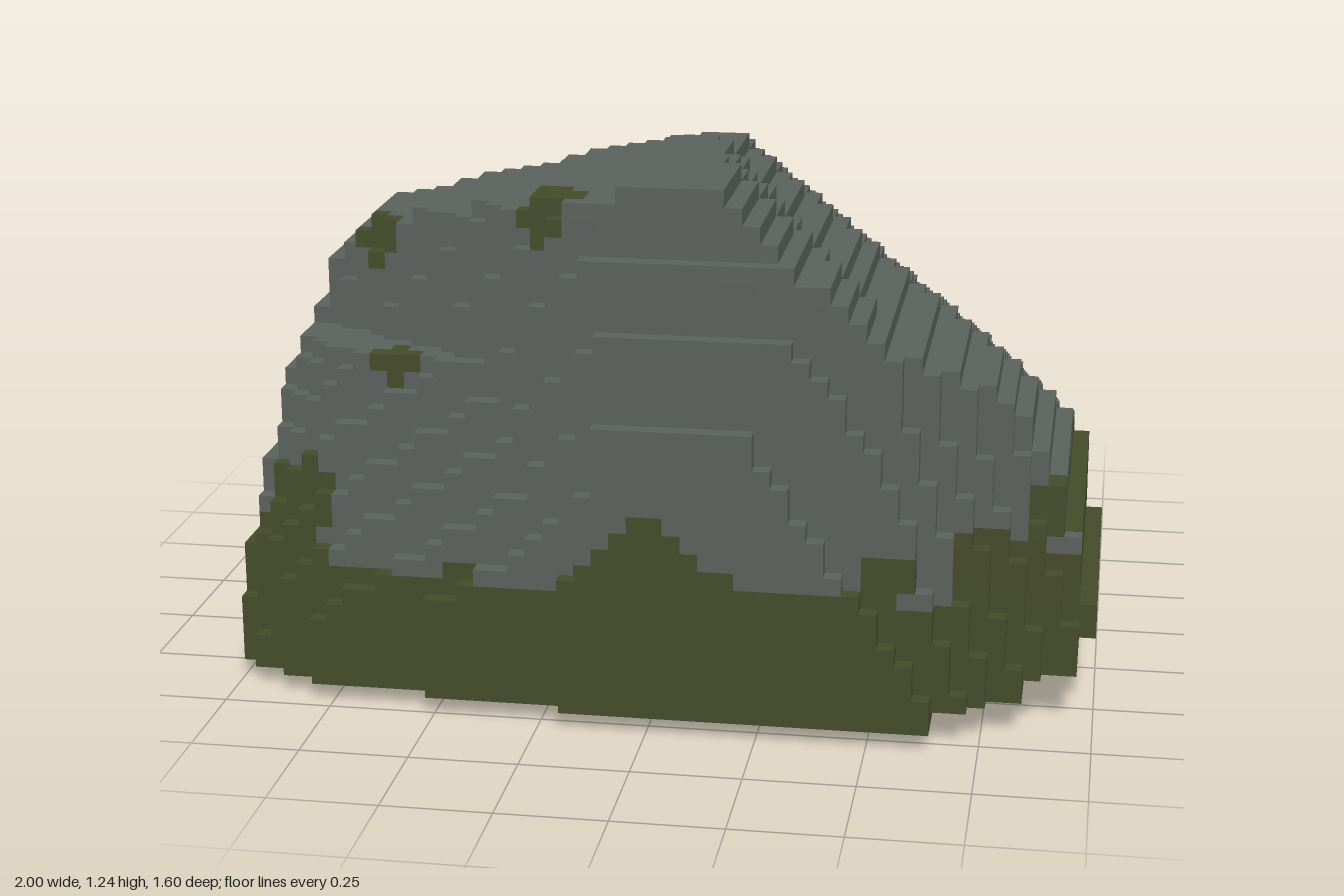
import * as THREE from 'three';

const S = 0.04, NX = 50, NY = 31, NZ = 40; // cell size and grid counts

// Flat cuts of the boulder: a*x + b*y + c*z <= d
const CUTS = [
  [0, 0.24, 1, 0.957],        // leaning front face
  [-0.13, 0, 1, 0.805],       // front face, turned a little to -x
  [0.157, 0.11, 1, 0.892],    // front face, turned a little to +x
  [0.5, 0.15, 0.86, 1.002],   // front corner at +x
  [-1, 0.2, 0, 1.042],        // -x side
  [-1, 0.35, 0, 1.15],
  [-1, 0.9, 0, 1.67],         // shoulder above the -x side
  [2.1, 1, 0, 2.45],          // +x side, upper
  [4, 1, 0, 4.2],             // +x side, lower
  [0, 1, -0.1, 1.189],        // ridge falling to the back
  [-0.2, 1, -0.06, 1.2],      // top falling to -x
  [0, 1, -0.3, 1.24],         // back of the ridge
  [0, 1, -0.7, 1.43],
  [0, 1, -2, 2.225],          // upper back
  [0, 0.14, -1, 0.845],       // lower back
  [-0.36, 1, -0.37, 1.27],    // back slope at -x
  [0.83, 1, -0.354, 1.3],     // back slope at +x
  [0.2, -1, 0, 0.068],        // undercut at +x
  [1, -0.5, 0, 0.88],
  [0, -1, -1, 0.6],           // undercut at the back
  [0.7, -1, -0.7, 0.75],
];

// Near-vertical walls along the ground outline, running round from +x to -x
function wall(x1, z1, x2, z2, lean) {
  const l = Math.hypot(x2 - x1, z2 - z1), a = -(z1 - z2) / l, c = (x1 - x2) / l;
  const sign = a * x1 + c * z1 < 0 ? -1 : 1;
  CUTS.push([sign * a, lean, sign * c, sign * (a * x1 + c * z1) + lean * 0.15]);
}
const OUTLINE = [
  [1, -0.08], [0.93, -0.37], [0.7, -0.62], [0.24, -0.79], [0, -0.8],
  [-0.29, -0.76], [-0.5, -0.6], [-0.88, -0.22], [-1, 0.2],
];
for (let i = 0; i + 1 < OUTLINE.length; i++) wall(...OUTLINE[i], ...OUTLINE[i + 1], 0.06);
wall(-1, 0.57, -0.8, 0.73, 0.08);

function isRock(x, y, z) {
  // shallow foot under the main underside
  if (y < S && (x > 0 || x < -0.84 || z > 0.32 || x + z > -0.31)) return false;
  for (const [a, b, c, d] of CUTS) if (a * x + b * y + c * z > d) return false;
  // hollow slope at +x: steep near the ridge, gentler further out
  const steep = 1.37 - 0.92 * (x - 0.28 * Math.min(z - 0.5, 0));
  if (y > Math.max(steep, 1.19 - 0.55 * x)) return false;
  // upper block steps back at the -x front corner, leaving a flat shelf
  const block = -0.53 * x + 0.1 * y + 0.85 * z <= 0.793;
  const shelf = y < 0.8 && -0.2 * x + 0.3 * y + 0.98 * z <= 0.905
    && -0.707 * x + 0.35 * y + 0.707 * z <= 1.2;
  return block || shelf;
}

// Height of the moss around the boulder, every 22.5 degrees from +x towards +z
const MOSS = [0.46, 0.46, 0.34, 0.34, 0.5, 0.3, 0.35, 0.42, 0.36, 0.36, 0.4, 0.44, 0.52, 0.56, 0.54, 0.51];
// Loose moss patches: x, y, z, radius
const PATCHES = [
  [-0.84, 0.46, 0.6, 0.1], [-0.63, 0.42, 0.72, 0.05], [-0.35, 0.42, 0.74, 0.04],
  [-0.62, 0.79, 0.55, 0.06], [-0.71, 1.03, 0.37, 0.06], [-0.24, 1.17, 0.6, 0.08],
  [0.54, 0.39, 0.74, 0.06], [0.74, 0.42, 0.66, 0.07], [0.87, 0.49, 0.53, 0.07],
  [0.78, 0.62, 0.5, 0.03], [0.58, 0.83, -0.57, 0.05], [-0.31, 1.14, -0.05, 0.04],
];
function isMoss(x, y, z) {
  const t = ((Math.atan2(z, x) / (Math.PI * 2) + 1) % 1) * 16, i = Math.floor(t), f = t - i;
  const line = MOSS[i % 16] * (1 - f) + MOSS[(i + 1) % 16] * f
    + 0.02 * Math.sin(t * 5) + 0.012 * Math.sin(t * 13);
  return y < line || PATCHES.some(([a, b, c, r]) => Math.hypot(x - a, y - b, z - c) < r);
}

export function createModel() {
  const group = new THREE.Group();
  group.name = 'boulder';
  const parts = { stone: [], moss: [] };
  const centre = (i, j, k) => [(i + 0.5 - NX / 2) * S, (j + 0.5) * S, (k + 0.5 - NZ / 2) * S];

  const grid = new Uint8Array(NX * NY * NZ);
  const inside = (i, j, k) => i >= 0 && j >= 0 && k >= 0 && i < NX && j < NY && k < NZ;
  const at = (i, j, k) => (k * NY + j) * NX + i;
  const each = (fn) => {
    for (let k = 0; k < NZ; k++) for (let j = 0; j < NY; j++) for (let i = 0; i < NX; i++) fn(i, j, k);
  };
  each((i, j, k) => { grid[at(i, j, k)] = isRock(...centre(i, j, k)) ? 1 : 0; });

  // One square for every cell side that is open to the air
  each((i, j, k) => {
    if (!grid[at(i, j, k)]) return;
    const p = centre(i, j, k);
    const out = isMoss(...p) ? parts.moss : parts.stone;
    for (let axis = 0; axis < 3; axis++) for (const s of [-1, 1]) {
      const n = [i, j, k];
      n[axis] += s;
      if (inside(...n) && grid[at(...n)]) continue;
      const u = (axis + 1) % 3, v = (axis + 2) % 3;
      const corner = (a, b) => {
        const q = [...p];
        q[axis] += s * S / 2;
        q[u] += a * S / 2;
        q[v] += b * s * S / 2;
        return q;
      };
      const A = corner(-1, -1), B = corner(1, -1), C = corner(1, 1), D = corner(-1, 1);
      out.push(...A, ...B, ...C, ...A, ...C, ...D);
    }
  });

  const colours = { stone: 0x5a605b, moss: 0x444b29 };
  for (const name of ['stone', 'moss']) {
    const geometry = new THREE.BufferGeometry();
    geometry.setAttribute('position', new THREE.Float32BufferAttribute(parts[name], 3));
    geometry.computeVertexNormals();
    const material = new THREE.MeshStandardMaterial({ color: colours[name] });
    material.name = name === 'stone' ? 'grey stone' : 'green moss';
    const mesh = new THREE.Mesh(geometry, material);
    mesh.name = name;
    group.add(mesh);
  }
  return group;
}
